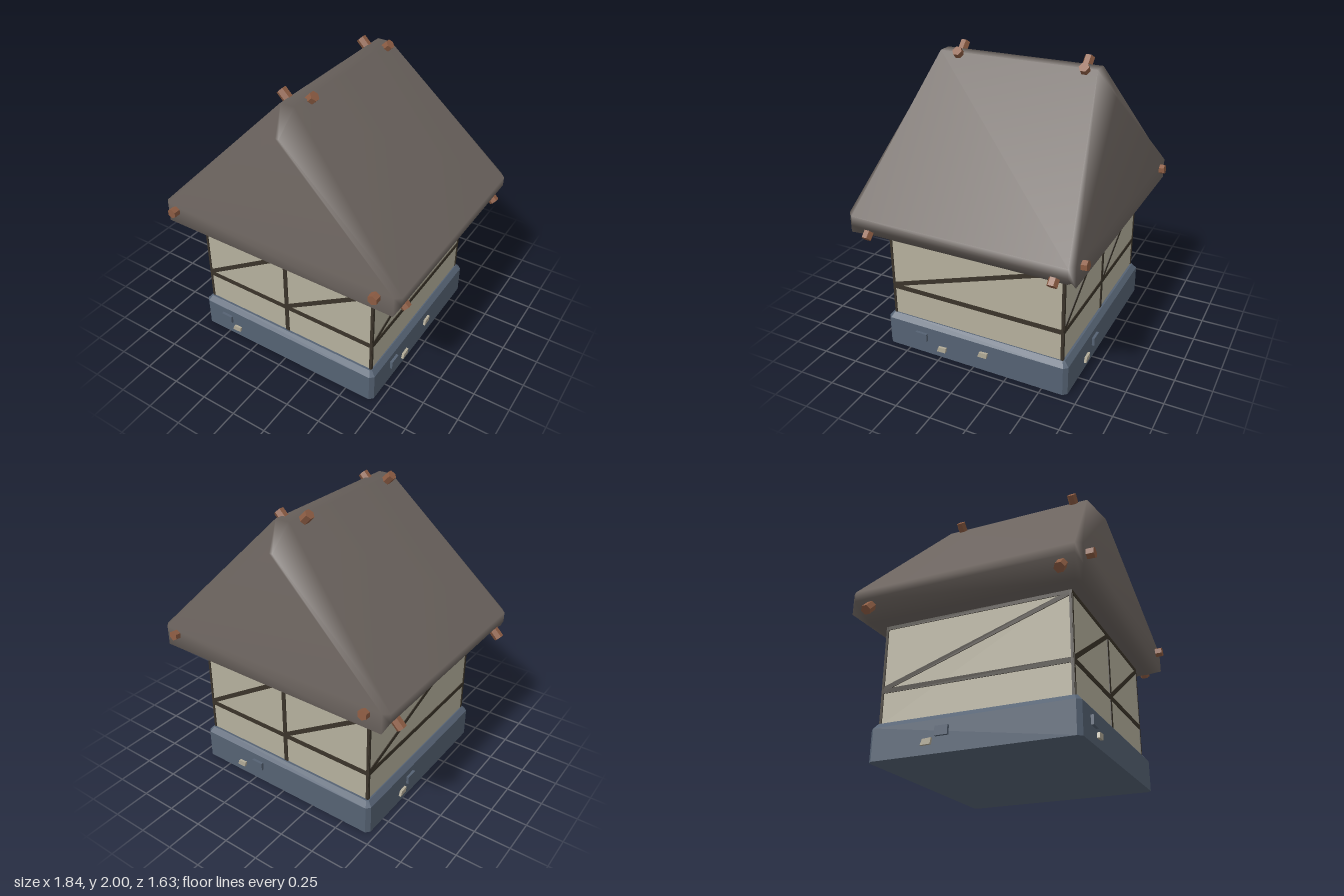
import * as THREE from 'three';

const mat = (name, color, flatShading = false) => {
  const m = new THREE.MeshStandardMaterial({ color, flatShading });
  m.name = name;
  return m;
};

// Stacks eight-point rings: each ring gives a side corner [x, y, z] and an end corner [x, y, z]
function octagonLoft(rings) {
  const pos = [], idx = [];
  for (const [[sx, sy, sz], [ex, ey, ez]] of rings) {
    pos.push(sx, sy, sz, ex, ey, ez, -ex, ey, ez, -sx, sy, sz);
    pos.push(-sx, sy, -sz, -ex, ey, -ez, ex, ey, -ez, sx, sy, -sz);
  }
  const quad = (a, b, c, d) => idx.push(a, b, c, a, c, d);
  for (let k = 0; k < rings.length - 1; k++) {
    for (let i = 0; i < 8; i++) {
      const a = k * 8 + i, b = k * 8 + (i + 1) % 8;
      quad(a, a + 8, b + 8, b);
    }
  }
  const t = (rings.length - 1) * 8;
  for (const [a, b, c, d] of [[0, 1, 2, 3], [4, 5, 6, 7], [0, 3, 4, 7]]) {
    quad(a, b, c, d);
    quad(t + d, t + c, t + b, t + a);
  }
  const g = new THREE.BufferGeometry();
  g.setAttribute('position', new THREE.Float32BufferAttribute(pos, 3));
  g.setIndex(idx);
  g.computeVertexNormals();
  return g;
}

export function createModel() {
  const house = new THREE.Group();
  house.name = 'house';
  const plaster = mat('plaster', 0xb5b09d);
  const timber = mat('timber', 0x3b342a);
  const slate = mat('foundationBlue', 0x556273, true);
  const paleStone = mat('paleStone', 0xb0a996, true);
  const roofing = mat('roofBrown', 0x6c645f);
  const wood = mat('pegWood', 0x8c5c43, true);

  const add = (parent, name, geo, material, x = 0, y = 0, z = 0) => {
    const m = new THREE.Mesh(geo, material);
    m.name = name;
    m.position.set(x, y, z);
    parent.add(m);
    return m;
  };

  // Foundation with chamfered corners and top edge
  add(house, 'foundation', octagonLoft([
    [[0.705, 0, 0.645], [0.68, 0, 0.672]],
    [[0.705, 0.205, 0.645], [0.68, 0.205, 0.672]],
    [[0.675, 0.24, 0.63], [0.665, 0.24, 0.642]],
  ]), slate);

  // Plaster walls
  add(house, 'walls', new THREE.BoxGeometry(1.334, 0.68, 1.254), plaster, 0, 0.57, 0);

  // Small stones set in the foundation
  const stoneShape = new THREE.Shape([[-0.035, -0.02], [0.03, -0.018], [0.037, 0.02], [-0.022, 0.016]]
    .map(p => new THREE.Vector2(...p)));
  const paleGeo = new THREE.ExtrudeGeometry(stoneShape, { depth: 0.03, bevelEnabled: false });
  const blueGeo = new THREE.BoxGeometry(0.085, 0.058, 0.04);

  // One side of the house: timber frame and stones, facing +z before turning
  const sides = [
    { name: 'front', turn: 0, w: 1.334, d: 0.627, base: 0.672, panels: 2, blue: [-0.505, 0.13], pale: [[-0.42, 0.072]] },
    { name: 'left', turn: 1, w: 1.254, d: 0.667, base: 0.705, panels: 1, blue: [-0.395, 0.13], pale: [[-0.24, 0.07], [0.075, 0.13]] },
    { name: 'back', turn: 2, w: 1.334, d: 0.627, base: 0.672, panels: 2, blue: [-0.22, 0.13], pale: [[-0.37, 0.075]] },
    { name: 'right', turn: 3, w: 1.254, d: 0.667, base: 0.705, panels: 1, blue: [-0.17, 0.13], pale: [[-0.27, 0.075]] },
  ];
  for (const s of sides) {
    const g = new THREE.Group();
    g.name = s.name + 'Side';
    g.rotation.y = s.turn * Math.PI / 2;
    house.add(g);
    const beam = (name, len, wide, x, y, angle = 0) => {
      const b = add(g, name, new THREE.BoxGeometry(len, wide, 0.006), timber, x, y, s.d + 0.002);
      b.rotation.z = angle;
    };
    for (const y of [0.45, 0.882]) beam('rail', s.w, 0.032, 0, y);
    for (const e of [-1, 1]) beam('cornerPost', 0.016, 0.66, e * (s.w / 2 - 0.006), 0.57);
    if (s.panels === 2) beam('middlePost', 0.03, 0.66, 0, 0.57);
    // Diagonal brace in each panel
    const pw = s.w / s.panels, rise = 0.415;
    for (let i = 0; i < s.panels; i++) {
      const x = -s.w / 2 + pw * (i + 0.5);
      beam('brace', Math.hypot(pw, rise) - 0.03, 0.03, x, 0.667, Math.atan2(rise, pw));
    }
    add(g, 'blueStone', blueGeo, slate, s.blue[0], s.blue[1], s.base - 0.002);
    for (const [x, y] of s.pale) add(g, 'paleStone', paleGeo, paleStone, x, y, s.base - 0.013);
  }

  // Soft-edged gabled roof
  add(house, 'roof', octagonLoft([
    [[0.785, 0.89, 0.69], [0.75, 0.89, 0.72]],
    [[0.895, 1.0, 0.735], [0.86, 0.93, 0.772]],
    [[0.895, 1.065, 0.735], [0.86, 1.07, 0.772]],
    [[0.05, 1.95, 0.55], [0.012, 1.78, 0.665]],
  ]), roofing, 0.015, 0, -0.005);

  // Wooden pegs sticking out of the roof
  const pegGeo = new THREE.CylinderGeometry(0.034, 0.034, 0.08, 6);
  const up = new THREE.Vector3(0, 1, 0);
  const peg = (name, x, y, z, dx, dy, dz) => {
    const p = add(house, name, pegGeo, wood, x, y, z);
    p.quaternion.setFromUnitVectors(up, new THREE.Vector3(dx, dy, dz).normalize());
  };
  peg('frontPeg', -0.775, 1.035, 0.775, 0, 0, 1);
  peg('frontPeg', 0.76, 1.035, 0.775, 0, 0, 1);
  peg('backPeg', -0.735, 1.035, -0.775, 0, 0.1, -1);
  peg('backPeg', 0.785, 1.035, -0.775, 0, 0.1, -1);
  for (const z of [-0.64, 0.64]) {
    peg('eavesPeg', -0.87, 0.94, z, -1, -1, 0);
    peg('eavesPeg', 0.87, 0.945, z, 1, -1, 0);
  }
  for (const z of [-0.44, 0.45]) peg('ridgePeg', -0.07, 1.95, z, -1, 1, 0);
  for (const z of [-0.48, 0.4]) peg('ridgePeg', 0.075, 1.94, z, 1, 1, 0);

  return house;
}
